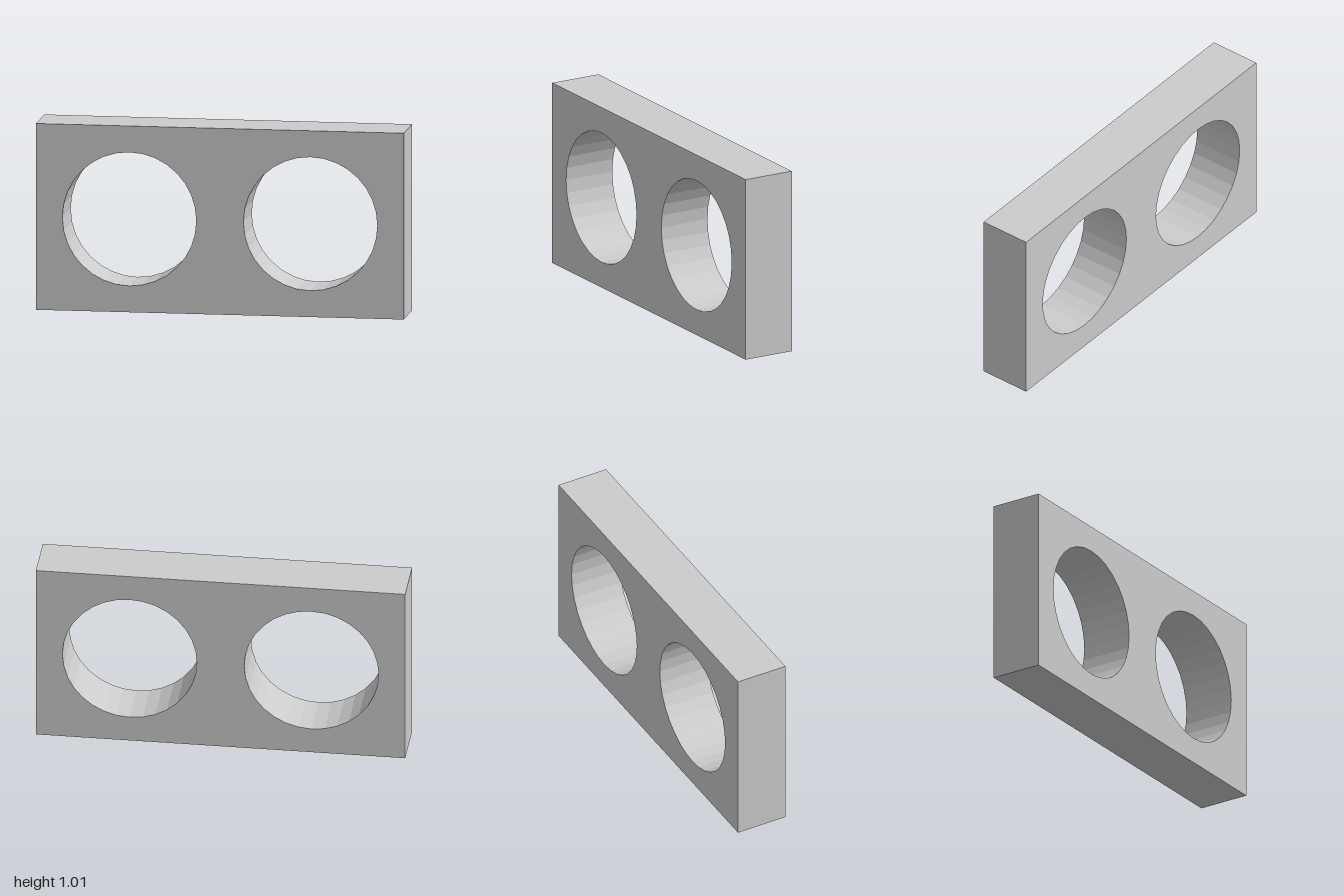
import * as THREE from 'three';

const WIDTH = 2, HEIGHT = 1.015, DEPTH = 0.29;
const HOLE_RADIUS = 0.364, HOLE_X = 0.492;

export function createModel() {
  const group = new THREE.Group();
  group.name = 'twoHolePlate';

  // Rectangular outline
  const outline = new THREE.Shape();
  outline.moveTo(-WIDTH / 2, 0);
  outline.lineTo(WIDTH / 2, 0);
  outline.lineTo(WIDTH / 2, HEIGHT);
  outline.lineTo(-WIDTH / 2, HEIGHT);
  outline.closePath();

  // Two round through-holes, mirrored about the middle
  for (const side of [-1, 1]) {
    const hole = new THREE.Path();
    hole.absarc(side * HOLE_X, HEIGHT / 2, HOLE_RADIUS, 0, Math.PI * 2, true);
    outline.holes.push(hole);
  }

  // Sharp-edged slab with faceted bores (an arc gets two sides per curve segment)
  const geometry = new THREE.ExtrudeGeometry(outline, {
    depth: DEPTH, bevelEnabled: false, curveSegments: 16,
  });
  geometry.translate(0, 0, -DEPTH / 2);

  const plate = new THREE.Mesh(
    geometry,
    new THREE.MeshStandardMaterial({ color: 0xcccccc, flatShading: true }),
  );
  plate.name = 'plate';
  group.add(plate);
  return group;
}
